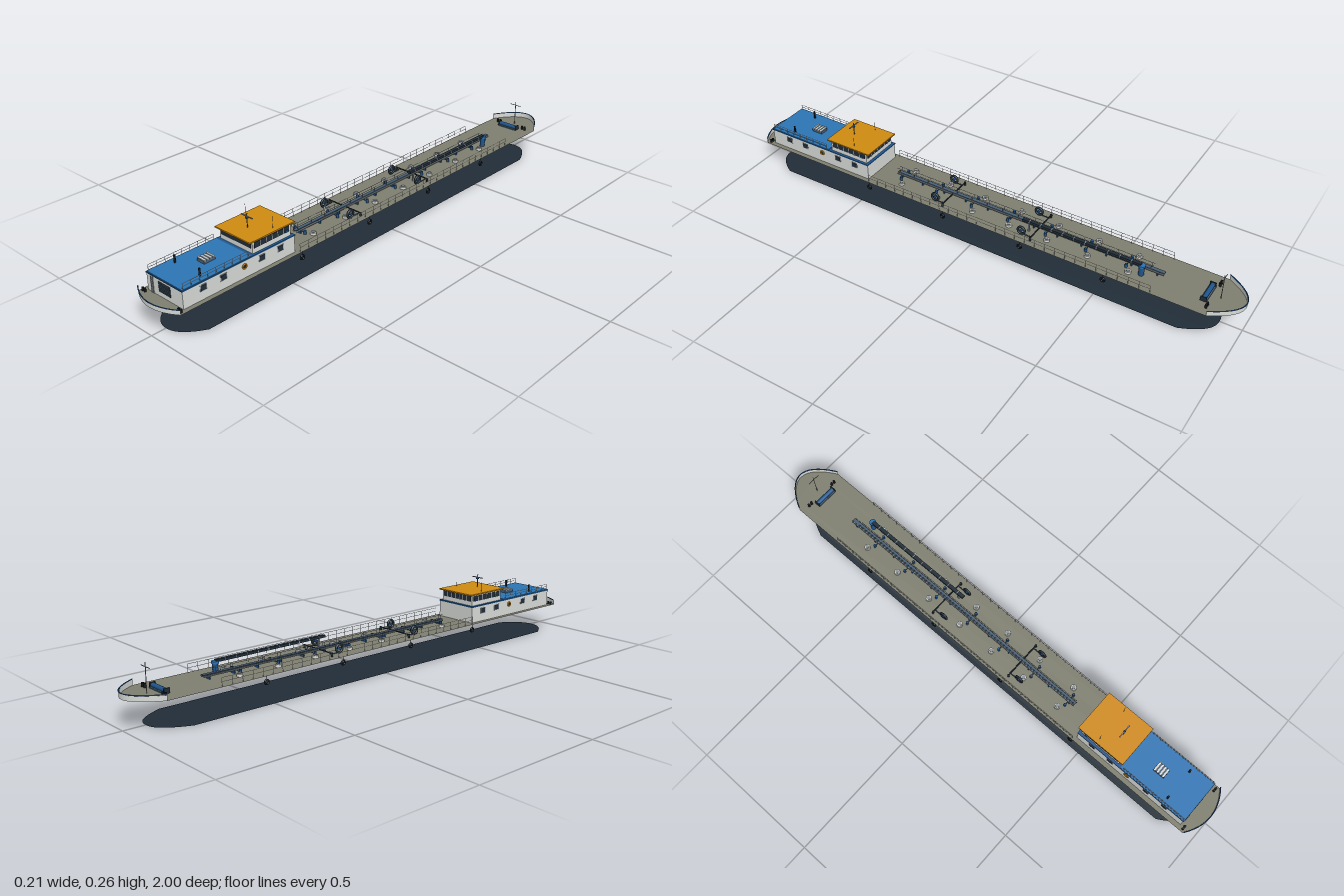
import * as THREE from 'three';

const mat = (name, color, double = false) => {
  const m = new THREE.MeshStandardMaterial({ color });
  m.name = name;
  if (double) m.side = THREE.DoubleSide;
  return m;
};

export function createModel() {
  const model = new THREE.Group();
  model.name = 'tankerBarge';
  const M = {
    white: mat('white paint', 0xd8dbd8, true),
    deck: mat('deck olive grey', 0x7f7f70, true),
    navy: mat('dark navy', 0x212d38, true),
    blue: mat('roof blue', 0x2b74b4),
    rim: mat('trim blue', 0x1f558c),
    orange: mat('orange', 0xcf8a10),
    black: mat('black rubber', 0x17191d),
    grey: mat('steel grey', 0x8d9499),
    pipe: mat('pipe blue grey', 0x4a6076),
  };
  const DECK = 0.1, W = 0.104;

  const add = (name, geo, m, x = 0, y = 0, z = 0) => {
    const mesh = new THREE.Mesh(geo, m);
    mesh.name = name;
    mesh.position.set(x, y, z);
    model.add(mesh);
    return mesh;
  };
  // box given by its centre in x and z and by its bottom in y
  const box = (name, m, w, h, d, x, y, z) =>
    add(name, new THREE.BoxGeometry(w, h, d), m, x, y + h / 2, z);
  const post = (name, m, r, h, x, y, z, sides = 8) =>
    add(name, new THREE.CylinderGeometry(r, r, h, sides), m, x, y + h / 2, z);
  const rod = (name, m, r, a, b, sides = 6) => {
    const A = new THREE.Vector3(...a), B = new THREE.Vector3(...b);
    return add(name, new THREE.TubeGeometry(new THREE.LineCurve3(A, B), 1, r, sides), m);
  };

  // end curves of the hull plan, running from -x to +x
  const endCurve = (w, corner, tip, power, n = 24) => {
    const pts = [];
    for (let i = 0; i <= n; i++) {
      const t = -1 + (2 * i) / n;
      pts.push(new THREE.Vector2(w * t, tip + (corner - tip) * Math.abs(t) ** power));
    }
    return pts;
  };
  const plate = (name, m, bow, stern, y) => {
    const geo = new THREE.ShapeGeometry(new THREE.Shape([...bow, ...[...stern].reverse()]));
    geo.rotateX(-Math.PI / 2).scale(1, 1, -1);
    // mirroring turns the faces over, so restore their order
    const idx = geo.index.array;
    for (let i = 0; i < idx.length; i += 3) [idx[i], idx[i + 1]] = [idx[i + 1], idx[i]];
    geo.computeVertexNormals();
    add(name, geo, m, 0, y, 0);
  };
  const bow = endCurve(W, -0.9, -0.998, 2);
  const stern = endCurve(W, 0.96, 0.996, 2);
  plate('deck', M.deck, bow, stern, DECK);
  plate('hullBottom', M.navy, endCurve(W, -0.81, -0.92, 2.4), endCurve(W, 0.86, 0.945, 2.2), 0);

  // bulwarks: upright sheets along the end curves with a blue rim
  const bulwark = (name, pts, h) => {
    const pos = [], idx = [];
    pts.forEach((p, i) => {
      pos.push(p.x, DECK, p.y, p.x, DECK + h, p.y);
      const a = 2 * i;
      if (i) idx.push(a - 2, a, a - 1, a, a + 1, a - 1);
    });
    const geo = new THREE.BufferGeometry();
    geo.setAttribute('position', new THREE.Float32BufferAttribute(pos, 3));
    geo.setIndex(idx);
    geo.computeVertexNormals();
    add(name, geo, M.white);
    const path = new THREE.CatmullRomCurve3(pts.map(p => new THREE.Vector3(p.x, DECK + h, p.y)));
    add(name + 'Rim', new THREE.TubeGeometry(path, 40, 0.002, 6), M.rim);
  };
  bulwark('bowBulwark', bow, 0.02);
  bulwark('sternBulwark', stern, 0.017);

  // railing along z
  const railing = (name, x, z0, z1, y, h, n) => {
    for (let i = 0; i <= n; i++) post(name + 'Post', M.white, 0.0009, h, x, y, z0 + ((z1 - z0) * i) / n, 5);
    for (const f of [0.55, 1]) rod(name, M.white, 0.0008, [x, y + h * f, z0], [x, y + h * f, z1], 5);
  };

  // deckhouse
  const HZ = 0.703, HL = 0.464, HW = 0.172, ROOF = 0.162;
  box('deckhouse', M.white, HW, ROOF - DECK, HL, 0, DECK, HZ);
  box('deckhouseTrim', M.rim, HW + 0.004, 0.004, HL + 0.004, 0, ROOF - 0.001, HZ);
  box('deckhouseRoof', M.blue, HW, 0.002, 0.276, 0, ROOF + 0.003, 0.797);
  for (const s of [-1, 1]) {
    for (const z of [0.855, 0.775, 0.615, 0.535]) {
      box('sideWindowFrame', M.grey, 0.002, 0.023, 0.027, s * HW / 2, 0.13, z);
      box('sideWindow', M.navy, 0.004, 0.018, 0.021, s * HW / 2, 0.1325, z);
    }
    const ring = add('lifebuoy', new THREE.TorusGeometry(0.008, 0.0025, 8, 20), M.orange, s * 0.088, 0.142, 0.69);
    ring.rotation.y = Math.PI / 2;
    box('sideDoor', M.navy, 0.003, 0.016, 0.01, s * HW / 2, 0.134, 0.69);
    railing('roofRailing', s * 0.083, 0.93, 0.67, ROOF + 0.004, 0.021, 8);
    post('exhaust', M.black, 0.0035, 0.028, s * 0.06, ROOF + 0.004, 0.845, 10);
  }
  // louvre and ladder on the after wall
  box('louvre', M.navy, 0.056, 0.036, 0.003, 0, 0.117, 0.935);
  for (let i = 0; i < 7; i++) box('louvreSlat', M.pipe, 0.054, 0.0015, 0.004, 0, 0.12 + i * 0.005, 0.936);
  for (const x of [-0.063, -0.053]) box('ladderRail', M.grey, 0.001, 0.06, 0.002, x, DECK, 0.938);
  for (let i = 0; i < 9; i++) box('ladderRung', M.grey, 0.01, 0.001, 0.002, -0.058, 0.105 + i * 0.006, 0.938);
  // roof skylight
  box('skylight', M.pipe, 0.034, 0.012, 0.045, 0, ROOF + 0.004, 0.77);
  for (let i = 0; i < 4; i++) box('skylightSlat', M.white, 0.038, 0.003, 0.006, 0, ROOF + 0.015, 0.752 + i * 0.012);

  // wheelhouse with a band of windows
  const CZ = 0.563, CL = 0.166, CW = 0.156;
  box('wheelhouse', M.white, CW, 0.045, CL, 0, ROOF, CZ);
  box('wheelhouseEndWindows', M.navy, 0.142, 0.021, CL + 0.003, 0, 0.182, CZ);
  box('wheelhouseSideWindows', M.navy, CW + 0.003, 0.021, CL - 0.014, 0, 0.182, CZ);
  for (let i = 1; i < 7; i++) box('frontMullion', M.white, 0.002, 0.021, 0.002, -0.071 + i * 0.0203, 0.182, CZ - CL / 2 - 0.0015);
  for (const s of [-1, 1]) {
    for (let i = 1; i < 6; i++) box('sideMullion', M.white, 0.002, 0.021, 0.002, s * (CW / 2 + 0.0015), 0.182, CZ - 0.076 + i * 0.0253);
    box('navigationLight', M.rim, 0.005, 0.008, 0.01, s * 0.081, 0.184, 0.5);
    post('whipAerial', M.grey, 0.0007, 0.045, s * 0.065, 0.211, 0.545, 5);
  }
  box('wheelhouseRoof', M.orange, 0.168, 0.005, 0.196, 0, 0.207, CZ);
  // radar mast
  post('radarMast', M.pipe, 0.0015, 0.05, 0, 0.211, 0.595);
  box('radarScanner', M.grey, 0.054, 0.003, 0.004, 0, 0.25, 0.595);
  box('radarMotor', M.rim, 0.008, 0.006, 0.008, 0, 0.244, 0.595);
  add('mastLight', new THREE.SphereGeometry(0.0025, 10, 8), M.grey, 0, 0.261, 0.595);

  // foredeck gear
  post('bowMast', M.grey, 0.0014, 0.1, 0, DECK, -0.91);
  box('bowMastYard', M.grey, 0.05, 0.002, 0.002, 0, 0.185, -0.91);
  const drum = add('windlass', new THREE.CylinderGeometry(0.008, 0.008, 0.08, 14), M.rim, 0, 0.109, -0.865);
  drum.rotation.z = Math.PI / 2;
  box('windlassBed', M.pipe, 0.084, 0.004, 0.024, 0, DECK, -0.865);
  for (const s of [-1, 1]) {
    box('windlassCheek', M.navy, 0.004, 0.018, 0.022, s * 0.042, DECK, -0.865);
    for (const x of [0.055, 0.068]) post('bowBollard', M.black, 0.0045, 0.014, s * x, DECK, -0.885, 10);
    for (const x of [0.082, 0.093]) post('sternBollard', M.black, 0.004, 0.012, s * x, DECK, 0.95, 10);
  }

  // central cargo pipe and catwalk
  box('catwalk', M.pipe, 0.014, 0.003, 1.1, 0, 0.115, -0.16);
  for (const x of [-0.007, 0.007]) {
    rod('cargoPipe', M.grey, 0.0028, [x, 0.111, -0.71], [x, 0.111, 0.39], 8);
    rod('catwalkRail', M.grey, 0.0008, [x, 0.134, -0.67], [x, 0.134, 0.39], 5);
    for (let i = 0; i <= 16; i++) post('catwalkPost', M.grey, 0.0008, 0.018, x, 0.116, 0.38 - i * 0.065, 5);
  }
  for (let i = 0; i < 12; i++) box('pipeSupport', M.rim, 0.022, 0.012, 0.004, 0, DECK, 0.37 - i * 0.096);

  // tank hatches with valves
  for (const z of [-0.595, -0.44, -0.28, -0.125, 0.03, 0.185, 0.345])
    for (const s of [-1, 1]) {
      post('tankHatch', M.white, 0.011, 0.009, s * 0.046, DECK, z, 16);
      post('tankHatchLid', M.grey, 0.007, 0.003, s * 0.046, 0.109, z, 16);
      post('valve', M.rim, 0.005, 0.014, s * 0.024, DECK, z + 0.018, 10);
      rod('branchPipe', M.pipe, 0.0018, [0, 0.107, z + 0.018], [s * 0.024, 0.107, z + 0.018]);
    }

  // cross manifolds with hose reels
  for (const [z, reel] of [[-0.23, -0.187], [0.14, 0.18]]) {
    rod('manifold', M.navy, 0.0025, [-0.078, 0.112, z], [0.078, 0.112, z], 8);
    for (const s of [-1, 1]) {
      post('manifoldFoot', M.navy, 0.004, 0.014, s * 0.076, DECK, z, 10);
      const hose = add('hoseReel', new THREE.TorusGeometry(0.014, 0.0045, 8, 24), M.navy, s * 0.064, 0.12, reel);
      hose.rotation.y = Math.PI / 2;
      const hub = post('hoseReelHub', M.rim, 0.005, 0.012, s * 0.064, 0.114, reel, 10);
      hub.rotation.z = Math.PI / 2;
      rod('reelPipe', M.pipe, 0.002, [s * 0.064, 0.106, z], [s * 0.064, 0.106, reel]);
    }
  }

  // hose crane lying along the deck
  post('cranePedestal', M.rim, 0.01, 0.035, 0.032, DECK, -0.637, 16);
  post('craneTurntable', M.blue, 0.013, 0.008, 0.032, 0.135, -0.637, 16);
  box('craneBoom', M.navy, 0.014, 0.009, 0.46, 0.032, 0.139, -0.405);
  for (let i = 0; i < 10; i++) box('boomBand', M.grey, 0.015, 0.0095, 0.003, 0.032, 0.139, -0.6 + i * 0.044);
  box('boomRest', M.grey, 0.006, 0.039, 0.006, 0.032, DECK, -0.2);

  // deck edge rails and tyre fenders
  for (const s of [-1, 1]) {
    railing('deckRailing', s * 0.099, 0.46, -0.7, DECK, 0.03, 29);
    for (const z of [0.455, 0.123, -0.203, -0.53]) {
      const tyre = add('tyreFender', new THREE.TorusGeometry(0.0075, 0.0033, 8, 20), M.black, s * 0.1035, 0.08, z);
      tyre.rotation.y = Math.PI / 2;
      post('fenderRope', M.black, 0.0007, 0.011, s * 0.1035, 0.09, z, 5);
    }
  }
  return model;
}
